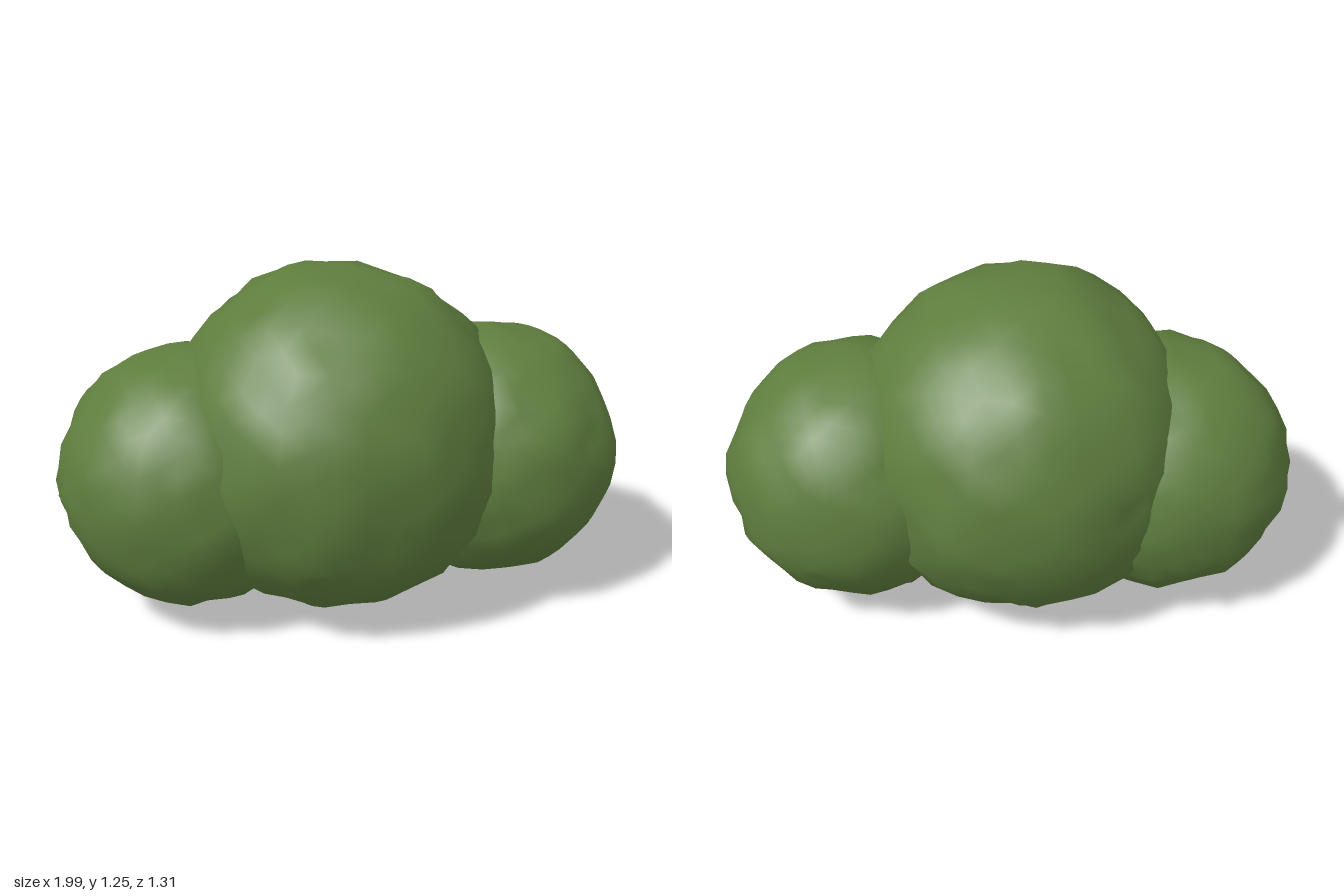
import * as THREE from 'three';
import { mergeVertices } from 'three/addons/utils/BufferGeometryUtils.js';

// Small seeded generator for repeatable lumps
function seeded(seed) {
  let s = seed;
  return () => {
    s = (s * 16807) % 2147483647;
    return s / 2147483647;
  };
}

// Smooth-shaded sphere with an uneven leafy surface
function lumpGeometry(radius, seed) {
  const rand = seeded(seed);
  const base = new THREE.IcosahedronGeometry(1, 6);
  base.deleteAttribute('normal');
  base.deleteAttribute('uv');
  const geo = mergeVertices(base, 1e-4);
  const pos = geo.attributes.position;
  const v = new THREE.Vector3();
  const phase = [0, 1, 2].map(() => rand() * 6.28);

  // Leafy bumps plus a small jitter along the radius
  for (let i = 0; i < pos.count; i++) {
    v.fromBufferAttribute(pos, i);
    const bumps =
      Math.sin(v.x * 9 + phase[0]) * Math.sin(v.y * 10 + phase[1]) +
      Math.sin(v.z * 10 + phase[2]) * Math.cos(v.x * 8 + phase[1]);
    v.multiplyScalar(radius * (1 + 0.012 * bumps + (rand() - 0.5) * 0.045));
    pos.setXYZ(i, v.x, v.y, v.z);
  }
  geo.computeVertexNormals();
  return geo;
}

export function createModel() {
  const group = new THREE.Group();
  group.name = 'bush';
  const leafGreen = new THREE.MeshStandardMaterial({ color: 0x5f7d3e });
  leafGreen.name = 'leafGreen';

  // Large middle clump with a smaller one on either side: name, centre, radius, seed
  const clumps = [
    ['middleClump', [-0.03, 0.64, 0.025], 0.624, 11],
    ['rightClump', [-0.525, 0.525, 0.18], 0.468, 257],
    ['leftClump', [0.525, 0.54, -0.19], 0.47, 4099],
  ];
  for (const [name, centre, radius, seed] of clumps) {
    const mesh = new THREE.Mesh(lumpGeometry(radius, seed), leafGreen);
    mesh.name = name;
    mesh.position.set(...centre);
    group.add(mesh);
  }
  return group;
}
